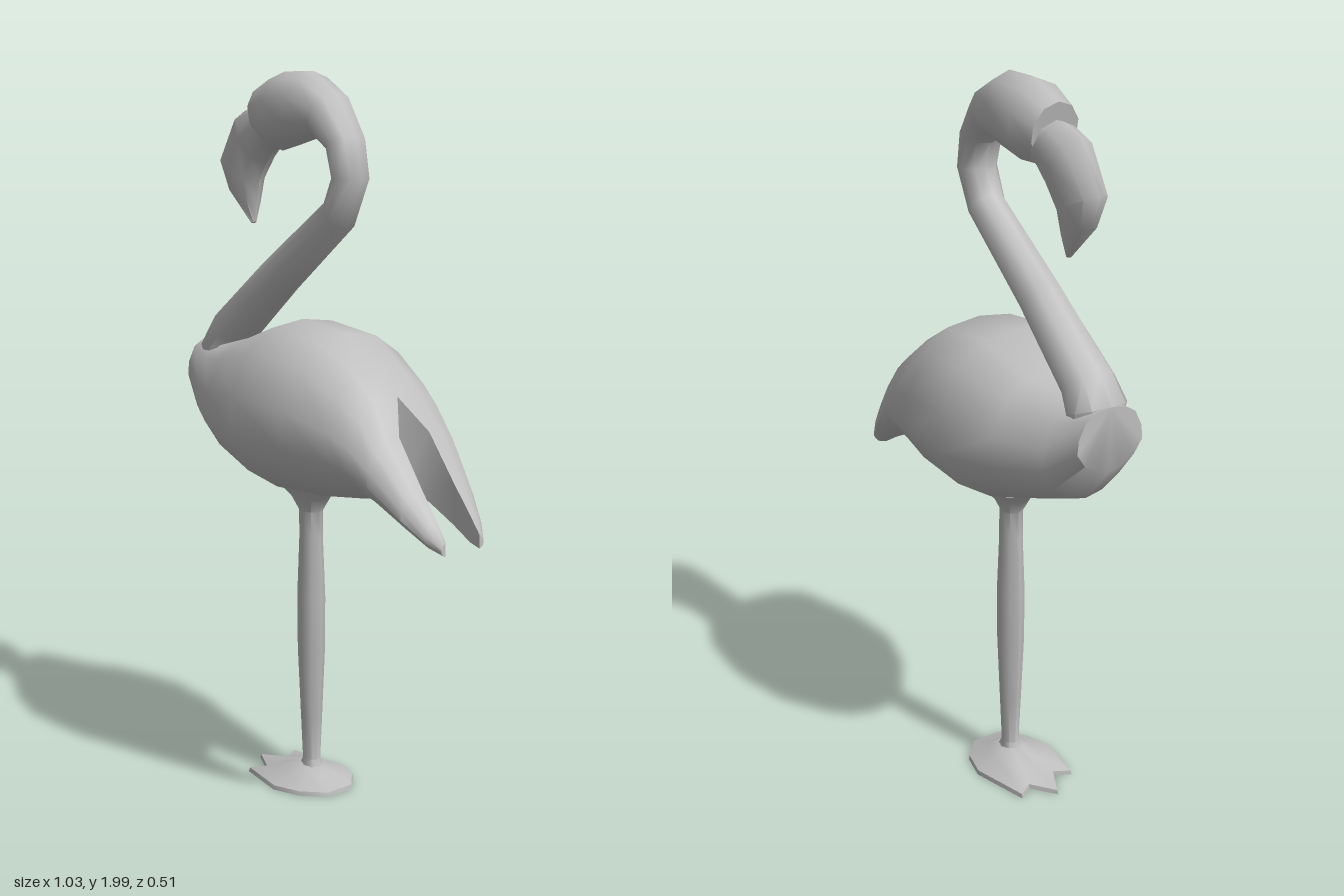
import * as THREE from 'three';
import { mergeGeometries, toCreasedNormals } from 'three/addons/utils/BufferGeometryUtils.js';

const V = (x, y, z) => new THREE.Vector3(x, y, z);
const plumage = new THREE.MeshStandardMaterial({ color: 0xbebebe });
plumage.name = 'plain grey';

// Skin a row of equal-length rings, cap both ends and face the surface outwards.
// skip(i, j) leaves out the strip after point j between rings i and i + 1.
function loft(rings, skip = () => false) {
  const tris = [];
  const n = rings[0].length;
  for (let i = 0; i < rings.length - 1; i++) {
    for (let j = 0; j < n; j++) {
      if (skip(i, j)) continue;
      const k = (j + 1) % n;
      const [a, b, c, d] = [rings[i][j], rings[i][k], rings[i + 1][k], rings[i + 1][j]];
      tris.push([a, b, c], [a, c, d]);
    }
  }
  const first = rings[0], last = rings[rings.length - 1];
  for (let j = 1; j < n - 1; j++) {
    tris.push([first[0], first[j + 1], first[j]], [last[0], last[j], last[j + 1]]);
  }
  const volume = tris.reduce((s, [a, b, c]) => s + a.dot(b.clone().cross(c)), 0);
  const points = tris.flatMap(([a, b, c]) => (volume < 0 ? [a, c, b] : [a, b, c]));
  return new THREE.BufferGeometry().setFromPoints(points);
}

// Oval rings, each spanned by an outer and an inner point of the side outline.
function ovalLoft(sections, sides) {
  return loft(sections.map(([ox, oy, ix, iy, halfZ]) => {
    const ring = [];
    for (let j = 0; j < sides; j++) {
      const a = (j / sides) * Math.PI * 2;
      const t = (1 - Math.cos(a)) / 2;
      ring.push(V(ox + (ix - ox) * t, oy + (iy - oy) * t, Math.sin(a) * halfZ));
    }
    return ring;
  }));
}

function part(name, geometry, crease = 0.85) {
  const mesh = new THREE.Mesh(toCreasedNormals(geometry, crease), plumage);
  mesh.name = name;
  return mesh;
}

// Body halves that split into two tail tips: x, top, bottom, half width, inner edge
const bodySections = [
  [-0.515, 1.24, 1.07, 0.1, 0],
  [-0.42, 1.235, 0.96, 0.14, 0],
  [-0.29, 1.265, 0.915, 0.21, 0],
  [-0.12, 1.33, 0.855, 0.253, 0],
  [0.07, 1.31, 0.865, 0.238, 0],
  [0.2, 1.23, 0.885, 0.2, 0],
  [0.265, 1.17, 0.9, 0.185, 0],
  [0.33, 1.08, 0.895, 0.163, 0.053],
  [0.42, 0.96, 0.85, 0.13, 0.056],
  [0.48, 0.885, 0.815, 0.1, 0.058],
  [0.512, 0.84, 0.805, 0.075, 0.06],
];
const bodyProfile = [[0, 1], [0.42, 0.97], [0.76, 0.85], [0.97, 0.6], [1, 0.38], [0.76, 0.17], [0.36, 0.04], [0, 0]];

function bodyHalf(side) {
  const rings = bodySections.map(([x, top, bottom, width, inner]) =>
    bodyProfile.map(([u, v]) => V(x, bottom + (top - bottom) * v, side * (inner + (width - inner) * u))));
  // no wall along the middle where the halves are joined
  return loft(rings, (i, j) => j === bodyProfile.length - 1 && bodySections[i + 1][4] === 0);
}

export function createModel() {
  const model = new THREE.Group();
  model.name = 'wadingBird';

  model.add(part('body', mergeGeometries([bodyHalf(1), bodyHalf(-1)])));

  // Neck curling up into the head
  model.add(part('neckAndHead', ovalLoft([
    [-0.5, 1.12, -0.33, 1.16, 0.075],
    [-0.515, 1.24, -0.4, 1.2, 0.085],
    [-0.465, 1.315, -0.375, 1.23, 0.075],
    [-0.25, 1.485, -0.175, 1.395, 0.06],
    [0, 1.66, 0.065, 1.585, 0.052],
    [0.03, 1.72, 0.125, 1.72, 0.055],
    [0.015, 1.79, 0.1, 1.83, 0.06],
    [-0.035, 1.825, 0.025, 1.935, 0.075],
    [-0.12, 1.8, -0.07, 1.992, 0.092],
    [-0.2, 1.78, -0.19, 1.99, 0.092],
    [-0.25, 1.8, -0.28, 1.95, 0.07],
  ], 10)));

  // Hooked beak
  model.add(part('beak', ovalLoft([
    [-0.23, 1.9, -0.2, 1.785, 0.06],
    [-0.29, 1.905, -0.24, 1.78, 0.062],
    [-0.37, 1.88, -0.275, 1.74, 0.062],
    [-0.455, 1.755, -0.305, 1.69, 0.052],
    [-0.425, 1.67, -0.313, 1.63, 0.035],
    [-0.335, 1.575, -0.325, 1.58, 0.008],
  ], 8)));

  // Single standing leg, flaring into the belly
  const legProfile = [[0.045, 0.03], [0.027, 0.07], [0.033, 0.2], [0.042, 0.4], [0.043, 0.55],
    [0.036, 0.72], [0.036, 0.8], [0.06, 0.84], [0.1, 0.875]].map(([r, y]) => new THREE.Vector2(r, y));
  const leg = new THREE.LatheGeometry(legProfile, 8);
  leg.scale(1, 1, 0.85).translate(-0.085, 0, 0);
  model.add(part('leg', leg));

  // Webbed foot with three toes, rising to the ankle
  const ankle = -0.085;
  const outline = [[0.04, 0.045], [-0.02, 0.1], [-0.1, 0.128], [-0.25, 0.1], [-0.225, 0.055], [-0.31, 0.01],
    [-0.24, -0.04], [-0.27, -0.085], [-0.1, -0.122], [-0.02, -0.1], [0.04, -0.045]];
  const foot = loft([[0, 1], [0.012, 0.98], [0.036, 0.5], [0.055, 0.2]].map(([y, s]) =>
    outline.map(([x, z]) => V(ankle + (x - ankle) * s, y, z * s))));
  model.add(part('foot', foot));

  return model;
}
